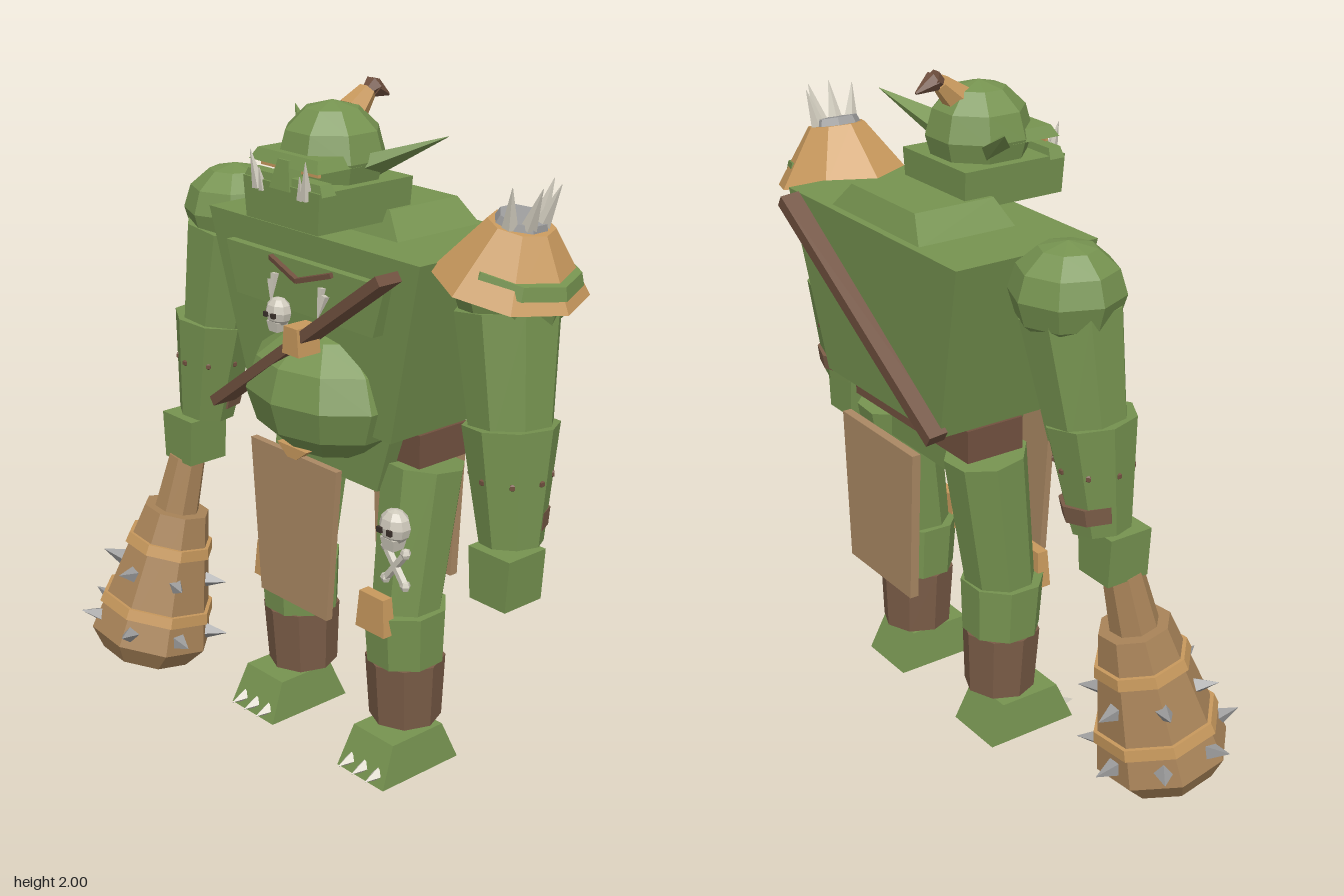
import * as THREE from 'three';

const mat = (name, color) => {
  const m = new THREE.MeshStandardMaterial({ color });
  m.name = name;
  return m;
};
const V = (x, y, z) => new THREE.Vector3(x, y, z);
const UP = V(0, 1, 0);

export function createModel() {
  const skin = mat('green skin', 0x769350), tan = mat('tan leather', 0xc8995d);
  const cloth = mat('cloth', 0xab8964), boot = mat('dark leather', 0x7a5c47);
  const strap = mat('strap leather', 0x71513f), wood = mat('wood', 0xa98459);
  const metal = mat('metal', 0x9a9a9a), bone = mat('bone', 0xcfcabc);
  const dark = mat('black', 0x3a302a);
  const root = new THREE.Group();
  root.name = 'ogre';
  const body = new THREE.Group();
  body.name = 'body';
  body.position.x = 0.105;
  root.add(body);

  // faceted mesh
  const add = (name, geo, m, parent = body) => {
    const g = geo.index ? geo.toNonIndexed() : geo;
    g.computeVertexNormals();
    const mesh = new THREE.Mesh(g, m);
    mesh.name = name;
    parent.add(mesh);
    return mesh;
  };
  // box with its own width and depth at the bottom and at the top
  const block = (name, m, x, y, z, h, wTop, dTop, wBot = wTop, dBot = dTop) => {
    const g = new THREE.BoxGeometry(1, h, 1), p = g.attributes.position;
    for (let i = 0; i < p.count; i++) {
      const top = p.getY(i) > 0;
      p.setX(i, p.getX(i) * (top ? wTop : wBot));
      p.setZ(i, p.getZ(i) * (top ? dTop : dBot));
    }
    const mesh = add(name, g, m);
    mesh.position.set(x, y, z);
    return mesh;
  };
  // tapered limb or spike from point a to point b
  const limb = (name, m, a, b, ra, rb, sides = 8, parent = body, turn = Math.PI / sides) => {
    const d = b.clone().sub(a);
    const g = new THREE.CylinderGeometry(rb, ra, d.length(), sides, 1, false, turn);
    const mesh = add(name, g, m, parent);
    mesh.position.copy(a).add(b).multiplyScalar(0.5);
    mesh.quaternion.setFromUnitVectors(UP, d.normalize());
    return mesh;
  };
  const ball = (name, m, x, y, z, rx, ry = rx, rz = rx, w = 8, h = 6, turn = Math.PI / w) => {
    const g = new THREE.SphereGeometry(1, w, h);
    g.rotateY(turn);
    g.scale(rx, ry, rz);
    const mesh = add(name, g, m);
    mesh.position.set(x, y, z);
    return mesh;
  };
  const skull = (name, x, y, z, s) => {
    ball(name, bone, x, y, z, s, s, s * 0.8);
    block(name + 'Jaw', bone, x, y - s * 0.95, z + s * 0.1, s * 0.7, s * 1.1, s, s * 0.8, s * 0.8);
    for (const e of [-1, 1]) block(name + 'Eye', dark, x + e * s * 0.38, y - s * 0.1, z + s * 0.78, s * 0.32, s * 0.34, 0.009);
  };

  // torso
  block('torso', skin, 0, 1.33, -0.09, 0.54, 0.885, 0.465, 0.61, 0.395);
  block('hump', skin, 0, 1.635, -0.14, 0.075, 0.33, 0.26, 0.46, 0.32);
  block('chest', skin, 0, 1.45, 0.095, 0.15, 0.67, 0.14, 0.58, 0.14);
  ball('belly', skin, 0, 1.135, 0.071, 0.272, 0.195, 0.212, 10, 6);
  block('belt', strap, 0, 1.005, -0.1, 0.1, 0.61, 0.19);
  block('hips', skin, 0, 0.96, -0.06, 0.2, 0.5, 0.22, 0.36, 0.2);
  block('frontCloth', cloth, 0, 0.727, 0.192, 0.475, 0.375, 0.022, 0.295, 0.022);
  block('backCloth', cloth, 0, 0.727, -0.295, 0.475, 0.385, 0.028, 0.335, 0.028);
  block('clothTrim', tan, 0, 0.97, 0.195, 0.035, 0.13, 0.022, 0.04, 0.022);

  // shoulder strap, front and back
  const front = block('frontStrap', strap, 0.04, 1.31, 0.208, 0.03, 0.88, 0.08);
  front.rotation.z = 0.633;
  const back = block('backStrap', strap, 0.04, 1.325, -0.328, 0.042, 0.88, 0.06);
  back.rotation.set(-0.09, 0, 0.633);
  block('strapBuckle', tan, 0.058, 1.328, 0.218, 0.08, 0.055, 0.08, 0.07, 0.08);

  // necklace
  skull('necklaceSkull', 0, 1.4, 0.25, 0.042);
  for (const s of [-1, 1]) {
    limb('necklaceCord', strap, V(s * 0.13, 1.515, 0.17), V(0, 1.475, 0.185), 0.01, 0.01, 4);
    for (const k of [0, 1]) limb('necklaceFang', bone, V(s * (0.1 + k * 0.015), 1.475 - k * 0.02, 0.18), V(s * 0.1, 1.39, 0.195), 0.012, 0.001, 4);
  }

  // head
  ball('head', skin, 0, 1.81, 0.055, 0.156, 0.152, 0.156);
  block('jaw', skin, 0, 1.697, 0.07, 0.115, 0.32, 0.34, 0.3, 0.335);
  block('lowerLip', skin, 0, 1.76, 0.21, 0.03, 0.3, 0.04, 0.33, 0.05);
  block('brow', skin, 0, 1.818, 0.15, 0.032, 0.25, 0.13, 0.285, 0.165);
  block('nose', skin, 0, 1.78, 0.2, 0.08, 0.045, 0.06, 0.085, 0.09);
  for (const s of [-1, 1]) {
    block('eye', tan, s * 0.085, 1.793, 0.205, 0.014, 0.07, 0.009);
    limb('tusk', bone, V(s * 0.1, 1.73, 0.232), V(s * 0.115, 1.835, 0.25), 0.02, 0.001, 5);
    limb('innerTusk', bone, V(s * 0.08, 1.725, 0.235), V(s * 0.085, 1.79, 0.245), 0.013, 0.001, 4);
    const ear = limb('ear', skin, V(s * 0.11, 1.79, 0.03), V(s * 0.315, 1.89, -0.08), 0.058, 0.001, 4);
    ear.scale.x = 0.5;
  }
  limb('hairTie', tan, V(0, 1.92, -0.02), V(0, 1.97, -0.075), 0.045, 0.027, 6);
  limb('topknot', strap, V(0, 1.965, -0.07), V(0, 1.982, -0.1), 0.016, 0.03, 6);
  limb('topknotTip', strap, V(0, 1.977, -0.095), V(0, 1.95, -0.155), 0.03, 0.004, 6);

  for (const s of [-1, 1]) {
    // arms
    ball('shoulder', skin, s * 0.58, 1.535, -0.065, 0.16, 0.14, 0.16, 8, 6, 0);
    limb('upperArm', skin, V(s * 0.578, 1.485, -0.05), V(s * 0.63, 1.14, -0.025), 0.148, 0.115);
    limb('forearm', skin, V(s * 0.632, 1.185, -0.02), V(s * 0.667, 0.86, 0), 0.133, 0.088);
    limb('wristBand', boot, V(s * 0.655, 0.95, -0.022), V(s * 0.66, 0.9, -0.019), 0.096, 0.09);
    block('hand', skin, s * 0.685, 0.785, 0.035, 0.15, 0.15, 0.14, 0.13, 0.14);
    for (let i = 0; i < 8; i++) {
      const a = i * Math.PI / 4;
      const stud = ball('stud', strap, s * 0.645 + 0.108 * Math.sin(a), 1.05, -0.013 + 0.108 * Math.cos(a), 0.011, 0.011, 0.011, 4, 3);
      stud.rotation.y = a;
    }
    // legs
    limb('thigh', skin, V(s * 0.237, 0.94, -0.088), V(s * 0.235, 0.48, -0.03), 0.125, 0.106);
    limb('calf', skin, V(s * 0.236, 0.51, -0.025), V(s * 0.236, 0.34, -0.03), 0.128, 0.119);
    limb('boot', boot, V(s * 0.236, 0.34, -0.03), V(s * 0.235, 0.14, -0.035), 0.119, 0.108);
    block('kneePad', tan, s * 0.233, 0.515, 0.09, 0.115, 0.1, 0.035, 0.12, 0.045);
    block('foot', skin, s * 0.252, 0.062, 0.01, 0.124, 0.17, 0.2, 0.2, 0.305);
    for (const k of [-1, 0, 1]) limb('claw', bone, V(s * 0.252 + k * 0.058, 0.032, 0.14), V(s * 0.252 + k * 0.058, 0.025, 0.195), 0.022, 0.001, 4, body, 0);
  }

  // left shoulder armour with spikes and a green outer band
  limb('shoulderPad', tan, V(0.57, 1.55, -0.06), V(0.605, 1.715, -0.06), 0.212, 0.09, 8, body, 0);
  limb('padBand', skin, V(0.606, 1.578, -0.06), V(0.614, 1.613, -0.06), 0.168, 0.155, 8, body, 0);
  limb('padCap', metal, V(0.602, 1.705, -0.06), V(0.61, 1.735, -0.06), 0.078, 0.066);
  for (const a of [-1.4, -0.5, 0.4, 1.3]) {
    const c = Math.cos(a), n = Math.sin(a);
    limb('padSpike', bone, V(0.605 + 0.05 * c, 1.715, -0.06 + 0.06 * n), V(0.62 + 0.09 * c, 1.825, -0.06 + 0.085 * n), 0.023, 0.001, 5);
  }

  // hip skull with crossed bones
  skull('hipSkull', 0.315, 0.815, 0.095, 0.052);
  for (const s of [-1, 1]) {
    limb('crossBone', bone, V(0.31 - s * 0.038, 0.735, 0.085), V(0.31 + s * 0.038, 0.64, 0.085), 0.013, 0.013, 5);
    for (const e of [-1, 1]) ball('boneEnd', bone, 0.31 + s * e * 0.04, 0.687 - e * 0.05, 0.085, 0.017, 0.017, 0.017, 5, 4);
  }

  // spiked club held in the right hand, hanging along -y
  const club = new THREE.Group();
  club.name = 'club';
  const top = V(-0.58, 0.83, 0.035), end = V(-0.66, 0.04, 0.195);
  club.position.copy(top);
  club.quaternion.setFromUnitVectors(V(0, -1, 0), end.clone().sub(top).normalize());
  root.add(club);
  const piece = (name, m, t0, t1, r0, r1) => limb(name, m, V(0, -t1, 0), V(0, -t0, 0), r1, r0, 8, club);
  const radius = t => 0.108 + (t - 0.3) * 0.21;
  piece('clubHandle', wood, 0.12, 0.32, 0.06, 0.075);
  piece('clubHead', wood, 0.3, 0.745, radius(0.3), radius(0.745));
  piece('clubEnd', wood, 0.745, 0.815, radius(0.745), 0.15);
  for (const t of [0.4, 0.615]) piece('clubBand', tan, t, t + 0.035, radius(t) + 0.012, radius(t + 0.035) + 0.012);
  for (const [t, n, off] of [[0.52, 6, 0.15], [0.7, 7, 0.5]]) {
    for (let i = 0; i < n; i++) {
      const a = off + i * 2 * Math.PI / n, r = radius(t) - 0.02;
      const c = Math.cos(a), k = Math.sin(a);
      limb('clubSpike', metal, V(r * k, -t, r * c), V((r + 0.075) * k, -t + 0.01, (r + 0.075) * c), 0.03, 0.001, 4, club);
    }
  }
  return root;
}
